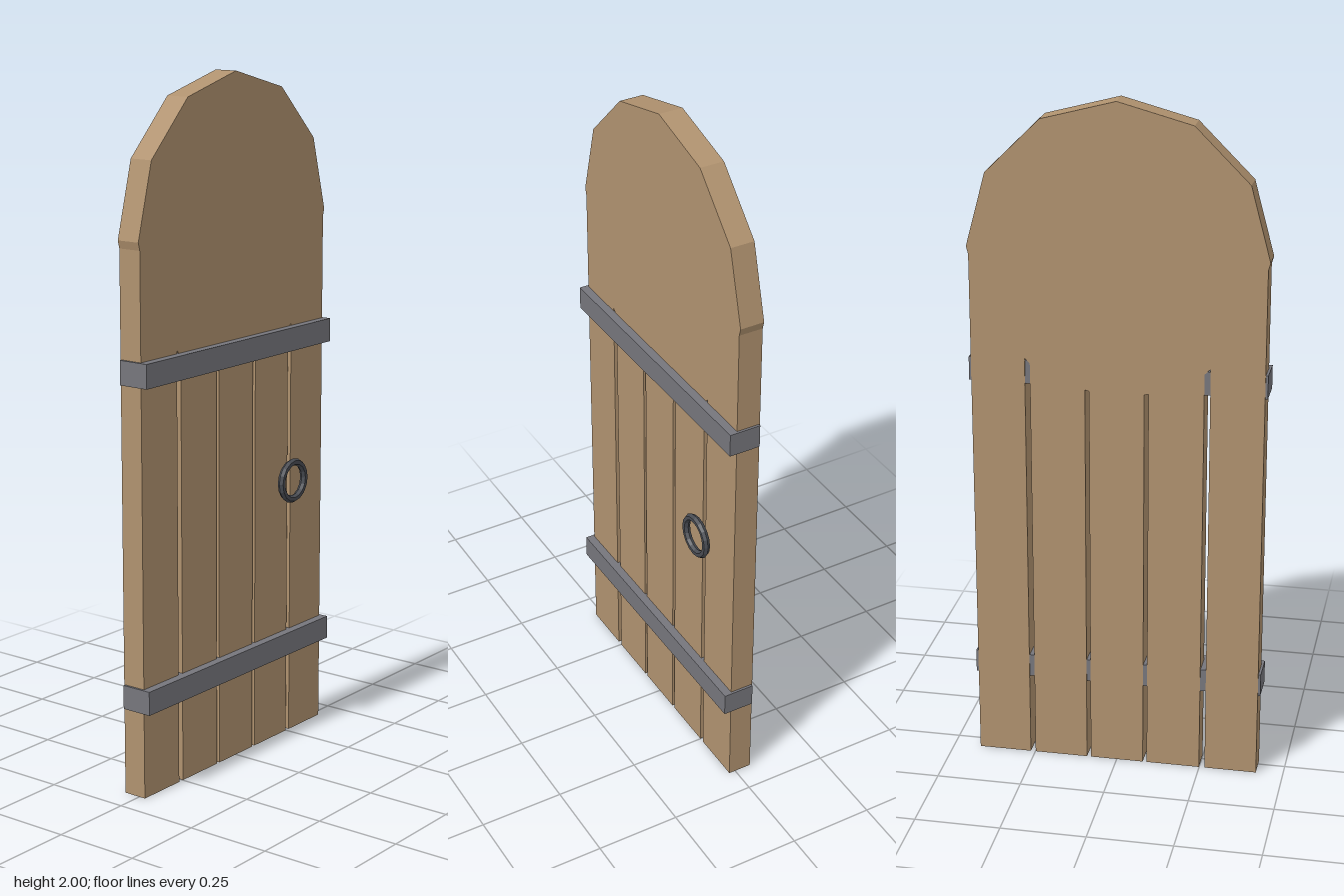
import * as THREE from 'three';

export function createModel() {
  const group = new THREE.Group();
  const wood = new THREE.MeshStandardMaterial({ color: 0xb0926f, flatShading: true });
  wood.name = 'wood';
  const iron = new THREE.MeshStandardMaterial({ color: 0x76767c, flatShading: true });
  iron.name = 'iron';
  const darkIron = new THREE.MeshStandardMaterial({ color: 0x484b52, flatShading: true });
  darkIron.name = 'darkIron';

  function add(name, geometry, material, x, y, z) {
    const mesh = new THREE.Mesh(geometry, material);
    mesh.name = name;
    mesh.position.set(x, y, z);
    group.add(mesh);
  }

  const back = -0.051, front = 0.02;
  const depth = front - back, midZ = (front + back) / 2;
  const radius = 0.426, archY = 2 - radius;

  // Five upright planks with narrow gaps
  const edges = [[-0.42, -0.266], [-0.249, -0.091], [-0.079, 0.079], [0.091, 0.249], [0.264, 0.42]];
  for (const [a, b] of edges) {
    add('plank', new THREE.BoxGeometry(b - a, archY, depth), wood, (a + b) / 2, archY / 2, midZ);
  }

  // Twelve-sided disc forming the arched top and closing the gaps
  const arch = new THREE.CylinderGeometry(radius, radius, depth, 12).rotateX(Math.PI / 2);
  add('archedTop', arch, wood, 0, archY, midZ);

  // Straps pass through the door, standing proud at the front and ends
  const strapBack = -0.048, strapFront = 0.045;
  for (const y of [0.288, 1.214]) {
    add('strap', new THREE.BoxGeometry(0.854, 0.069, strapFront - strapBack), iron,
      0, y, (strapFront + strapBack) / 2);
  }

  // Ring handle
  add('ringHandle', new THREE.TorusGeometry(0.056, 0.011, 6, 16), darkIron, 0.248, 0.788, 0.0415);

  return group;
}
